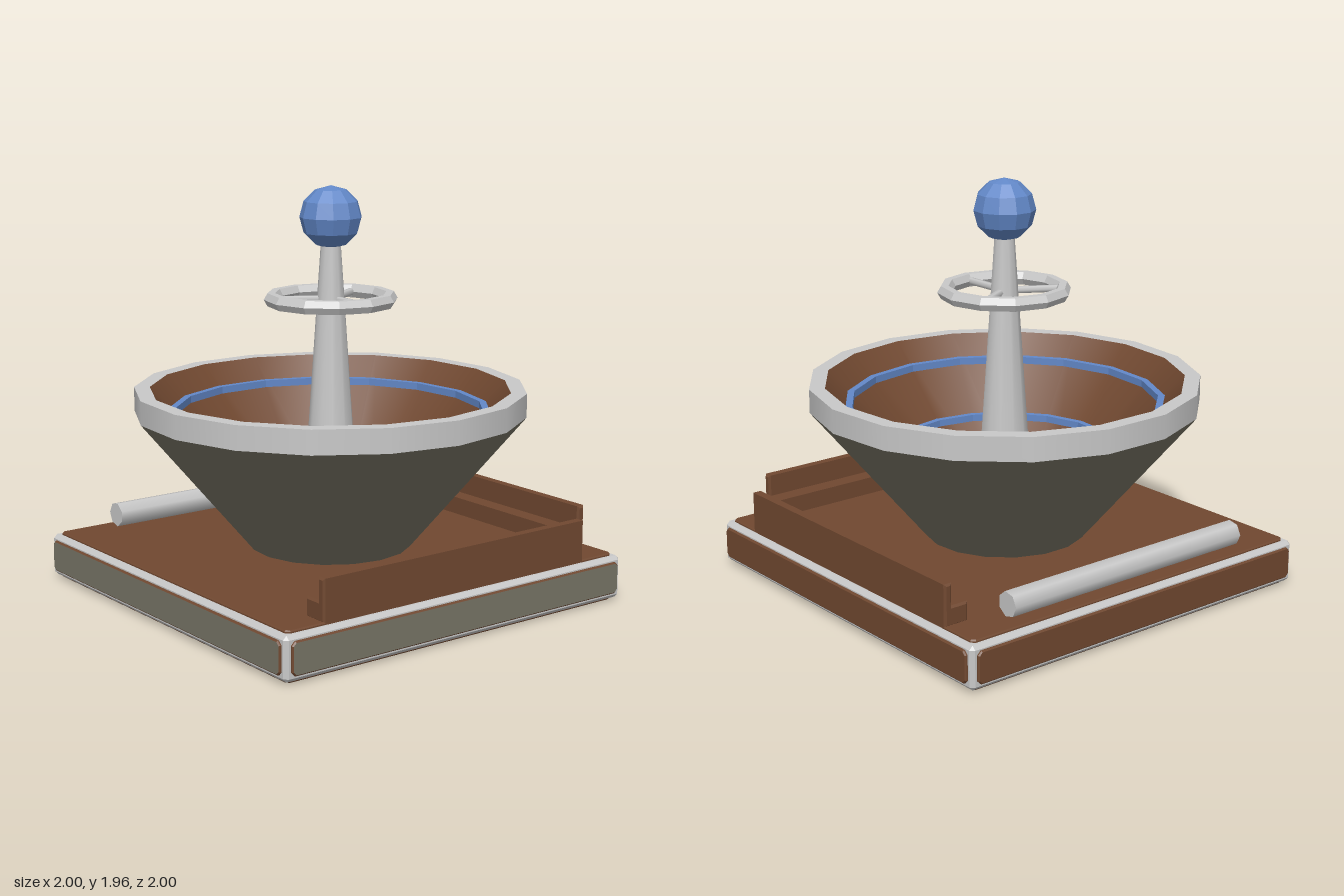
import * as THREE from 'three';
import { ConvexGeometry } from 'three/addons/geometries/ConvexGeometry.js';

const mat = (name, color, flatShading = false) => {
  const m = new THREE.MeshStandardMaterial({ color, flatShading });
  m.name = name;
  return m;
};

export function createModel() {
  const silver = mat('silver', 0xc8c8c8);
  const brown = mat('brown', 0x704830);
  const olive = mat('olive grey', 0x787566);
  const blue = mat('blue', 0x6288c8, true);

  const model = new THREE.Group();
  const add = (name, geometry, material, parent = model) => {
    const mesh = new THREE.Mesh(geometry, material);
    mesh.name = name;
    parent.add(mesh);
    return mesh;
  };
  const group = (name) => {
    const g = new THREE.Group();
    g.name = name;
    model.add(g);
    return g;
  };

  // Base: chamfered core whose edges show as trim between raised panels
  const base = group('base');
  const [hx, hy, c] = [0.988, 0.103, 0.018];
  const corners = [];
  for (const x of [-1, 1]) for (const y of [-1, 1]) for (const z of [-1, 1]) {
    corners.push(
      new THREE.Vector3(x * hx, y * (hy - c), z * (hx - c)),
      new THREE.Vector3(x * (hx - c), y * hy, z * (hx - c)),
      new THREE.Vector3(x * (hx - c), y * (hy - c), z * hx));
  }
  add('edgeTrim', new ConvexGeometry(corners), silver, base).position.y = 0.115;

  const panel = (name, w, h, face, position, rx, ry) => {
    const k = 0.018;
    const s = new THREE.Shape([
      [-w + k, -h], [w - k, -h], [w, -h + k], [w, h - k],
      [w - k, h], [-w + k, h], [-w, h - k], [-w, -h + k],
    ].map(([x, y]) => new THREE.Vector2(x, y)));
    const g = new THREE.ExtrudeGeometry(s, {
      depth: 0.012, bevelThickness: 0.006, bevelSize: 0.006, bevelOffset: -0.006, bevelSegments: 1,
    });
    const mesh = add(name, g, [face, brown], base);
    mesh.position.set(...position);
    mesh.rotation.set(rx, ry, 0);
  };
  const q = Math.PI / 2;
  const d = 0.982;
  panel('frontPanel', 0.96, 0.077, olive, [0, 0.117, d], 0, 0);
  panel('leftPanel', 0.96, 0.077, olive, [d, 0.117, 0], 0, q);
  panel('backPanel', 0.96, 0.077, brown, [0, 0.117, -d], 0, 2 * q);
  panel('rightPanel', 0.96, 0.077, brown, [-d, 0.117, 0], 0, -q);
  panel('topPanel', 0.958, 0.958, brown, [0, 0.212, 0], -q, 0);
  panel('bottomPanel', 0.96, 0.96, silver, [0, 0.018, 0], q, 0);

  // Stepped benches along the left and back edges
  const step = new THREE.Shape([
    [0.83, 0.222], [0.958, 0.222], [0.958, 0.422], [0.916, 0.422], [0.916, 0.316], [0.83, 0.316],
  ].map(([x, y]) => new THREE.Vector2(x, y)));
  const bench = new THREE.ExtrudeGeometry(step, {
    depth: 1.512, bevelThickness: 0.01, bevelSize: 0.01, bevelOffset: -0.01, bevelSegments: 1,
  });
  bench.translate(0, 0, -0.756);
  add('leftBench', bench, brown);
  add('backBench', bench, brown).rotation.y = q;

  // Loose bar lying along the right edge
  const bar = add('sideBar', new THREE.CylinderGeometry(0.06, 0.06, 1.385, 7), silver);
  bar.rotation.set(q, 0.2, 0);
  bar.position.set(-0.863, 0.295, 0);

  // Bowl: each surface is its own band, so its edges stay sharp
  const bowl = group('bowl');
  bowl.position.x = -0.004;
  const bands = (name, material, ...points) => {
    for (let i = 0; i + 1 < points.length; i++) {
      const pair = [points[i], points[i + 1]].map(([r, y]) => new THREE.Vector2(r, y));
      add(name, new THREE.LatheGeometry(pair, 17, q), material, bowl);
    }
  };
  bands('bowlOuterWall', olive, [0.39, 0.228], [0.94, 0.885]);
  bands('bowlRim', silver, [0.94, 0.885], [0.94, 1], [0.865, 1]);
  bands('bowlInnerWall', brown, [0.865, 1], [0.34, 0.44]);
  bands('bowlFloor', brown, [0.34, 0.44], [0, 0.44]);
  // Blue ledges run from the wall inwards, then down, so they face the bowl's middle
  for (const [r, y] of [[0.738, 0.9], [0.515, 0.66]]) {
    bands('bowlStripe', blue, [r + 0.045, y], [r, y], [r, y - 0.035]);
  }

  // Central post with ball
  const post = add('post', new THREE.CylinderGeometry(0.048, 0.134, 1.26, 11), silver);
  post.position.y = 1.06;
  post.rotation.y = q;
  const ball = add('ball', new THREE.SphereGeometry(0.149, 11, 6), blue);
  ball.position.y = 1.815;
  ball.rotation.y = 2 * q;

  // Three-spoked wheel around the post
  const wheel = group('wheel');
  wheel.position.y = 1.427;
  const hoop = new THREE.TorusGeometry(0.284, 0.036, 6, 12).toNonIndexed();
  hoop.computeVertexNormals();
  hoop.rotateX(-q);
  add('hoop', hoop, silver, wheel);
  const spoke = new THREE.CylinderGeometry(0.018, 0.018, 0.25, 6);
  spoke.rotateZ(q).translate(0.155, 0, 0);
  for (let i = 0; i < 3; i++) {
    add('spoke', spoke, silver, wheel).rotation.y = (i * 2 * Math.PI) / 3;
  }

  return model;
}
